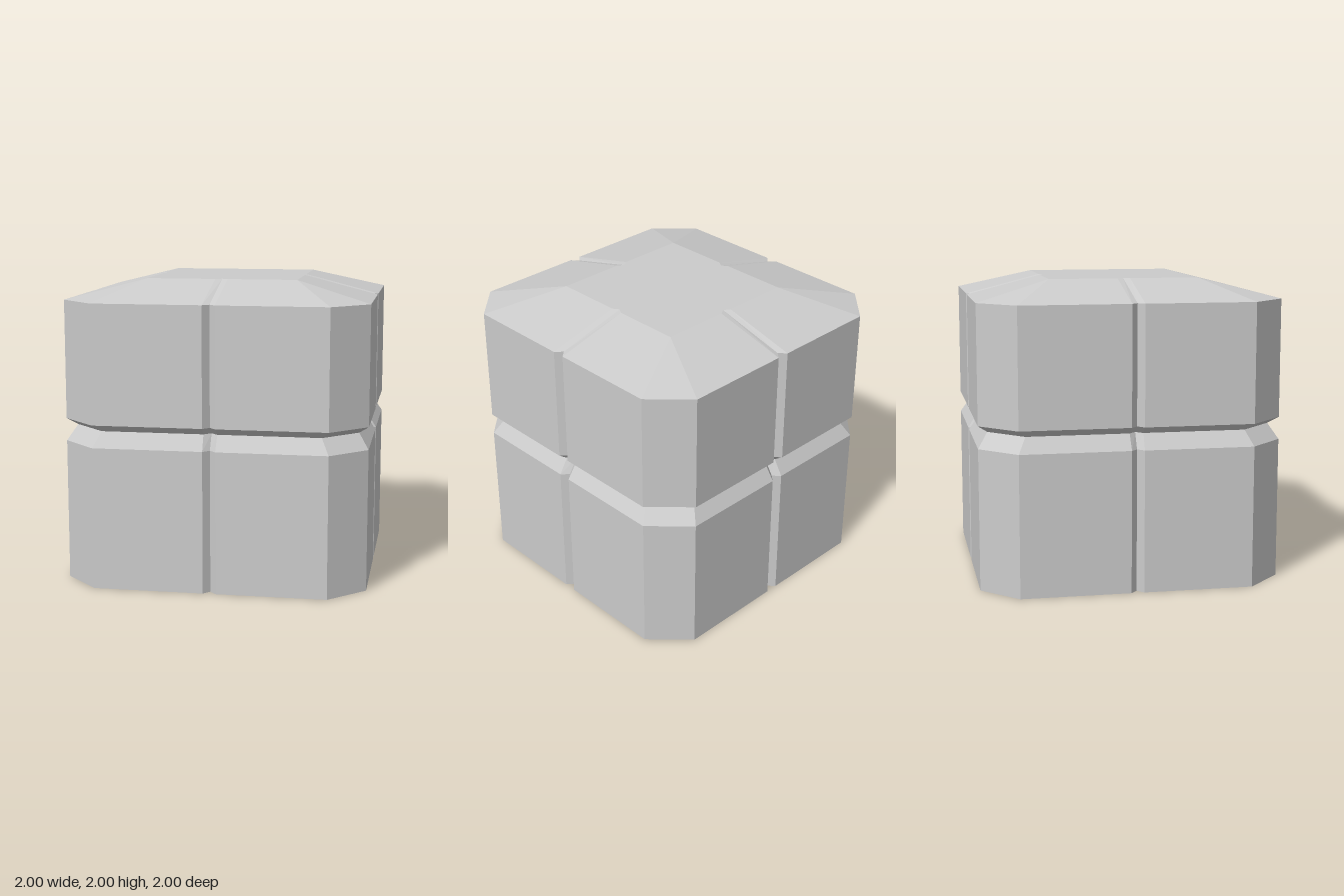
import * as THREE from 'three';

// One level: chamfered square outline with a V notch in the middle of each side
function outline(y, half, corner, notch, depth) {
  const side = [[-corner, half], [-notch, half], [0, half - depth], [notch, half], [corner, half]];
  const points = [];
  for (let k = 0; k < 4; k++) {
    for (const [x, z] of side) {
      const p = [[x, z], [z, -x], [-x, -z], [-z, x]][k];
      points.push(new THREE.Vector3(p[0], y, p[1]));
    }
  }
  return points;
}

// Join the levels with quads and close both ends
function loft(levels) {
  const pos = [];
  const tri = (a, b, c) => {
    const area = b.clone().sub(a).cross(c.clone().sub(a)).length();
    if (area > 1e-7) for (const p of [a, b, c]) pos.push(p.x, p.y, p.z);
  };
  const n = levels[0].length;
  const last = levels.length - 1;
  const bottom = new THREE.Vector3(0, levels[0][0].y, 0);
  const top = new THREE.Vector3(0, levels[last][0].y, 0);
  for (let i = 0; i < n; i++) {
    const j = (i + 1) % n;
    for (let l = 0; l < last; l++) {
      const lo = levels[l], hi = levels[l + 1];
      tri(lo[i], lo[j], hi[j]);
      tri(lo[i], hi[j], hi[i]);
    }
    tri(bottom, levels[0][j], levels[0][i]);
    tri(top, levels[last][i], levels[last][j]);
  }
  const geometry = new THREE.BufferGeometry();
  geometry.setAttribute('position', new THREE.Float32BufferAttribute(pos, 3));
  geometry.computeVertexNormals();
  return geometry;
}

export function createModel() {
  const group = new THREE.Group();
  group.name = 'groovedBlock';
  const material = new THREE.MeshStandardMaterial({ color: 0xcccccc, flatShading: true });

  // Straight lower half, waist groove, straight upper half, sloped cap
  const block = new THREE.Mesh(loft([
    outline(0, 1, 0.765, 0.042, 0.047),
    outline(0.938, 1, 0.765, 0.042, 0.047),
    outline(1.04, 0.935, 0.715, 0.045, 0.045),
    outline(1.087, 1, 0.765, 0.042, 0.047),
    outline(1.873, 1, 0.765, 0.042, 0.047),
    outline(2, 0.5, 0.5, 0.042, 0.027),
  ]), material);
  block.name = 'block';
  group.add(block);
  return group;
}
